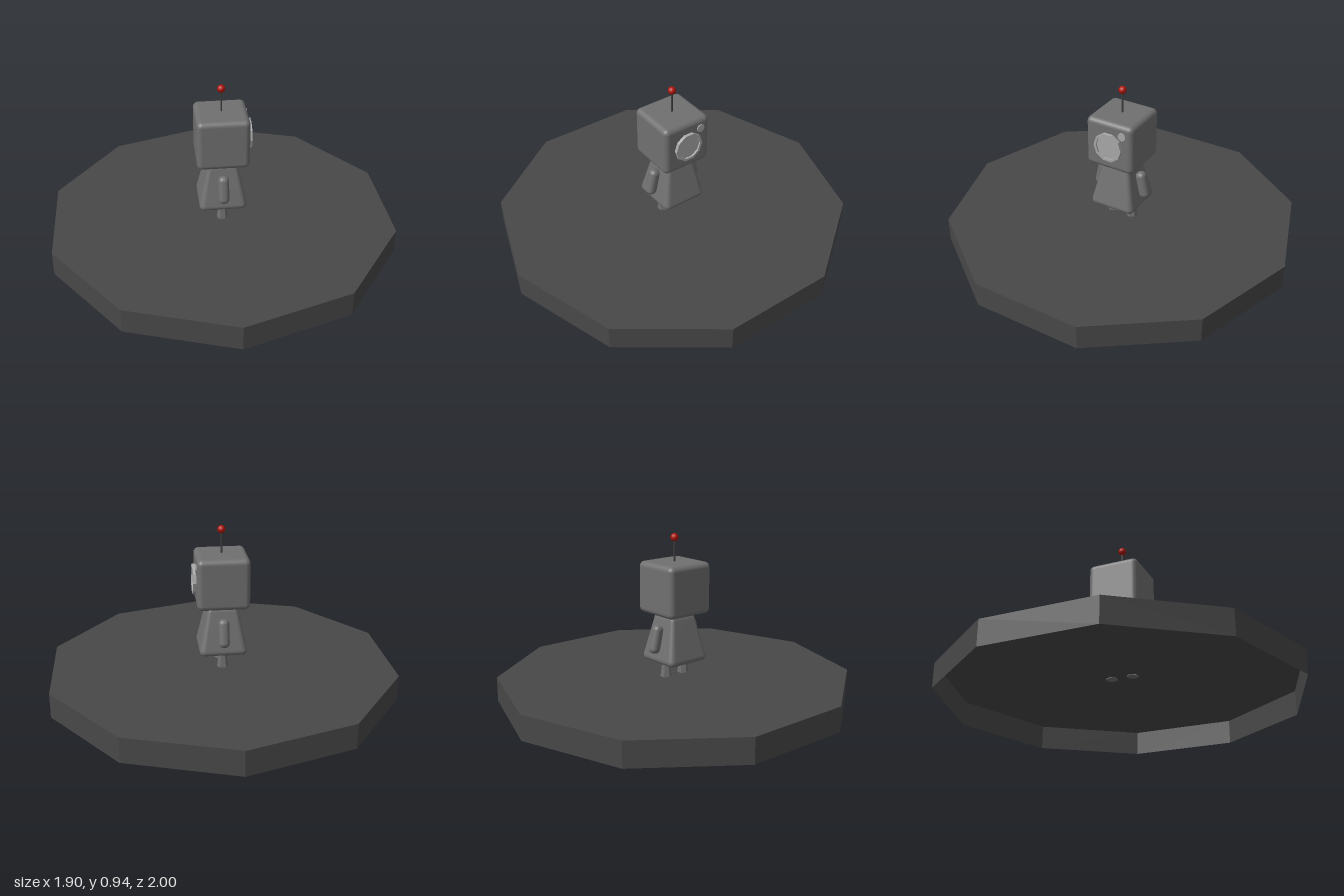
import * as THREE from 'three';
import { RoundedBoxGeometry } from 'three/addons/geometries/RoundedBoxGeometry.js';
import { mergeVertices } from 'three/addons/utils/BufferGeometryUtils.js';

const paint = (color, extra = {}) => new THREE.MeshStandardMaterial({ color, ...extra });

// Rounded box whose cross-section shrinks towards the top
function taperedBox(width, height, radius, topScale) {
  let geo = new RoundedBoxGeometry(width, height, width, 4, radius);
  const p = geo.attributes.position;
  for (let i = 0; i < p.count; i++) {
    const s = THREE.MathUtils.lerp(1, topScale, p.getY(i) / height + 0.5);
    p.setX(i, p.getX(i) * s);
    p.setZ(i, p.getZ(i) * s);
  }
  geo.deleteAttribute('normal');
  geo.deleteAttribute('uv');
  geo = mergeVertices(geo, 1e-5);
  geo.computeVertexNormals();
  return geo;
}

export function createModel() {
  const model = new THREE.Group();
  model.name = 'robotOnBase';

  const baseMat = paint(0x484848, { flatShading: true, side: THREE.DoubleSide });
  const bodyMat = paint(0x707070);
  const legMat = paint(0x707070, { flatShading: true });
  const rodMat = paint(0x404040);
  const lensMat = paint(0xa8a8a8, { flatShading: true });
  const redMat = paint(0xb01408);

  const add = (name, geo, mat, x = 0, y = 0, z = 0) => {
    const mesh = new THREE.Mesh(geo, mat);
    mesh.name = name;
    mesh.position.set(x, y, z);
    model.add(mesh);
    return mesh;
  };

  // Ten-sided base, hollow underneath
  const baseProfile = [[1, 0], [1, 0.14], [0, 0.14]].map(([r, y]) => new THREE.Vector2(r, y));
  add('base', new THREE.LatheGeometry(baseProfile, 10), baseMat);

  // Torso and head
  add('torso', taperedBox(0.28, 0.28, 0.035, 0.56), bodyMat, 0, 0.365, 0);
  add('head', new RoundedBoxGeometry(0.29, 0.29, 0.29, 4, 0.03), bodyMat, 0, 0.645, 0);

  // Legs and arms, mirrored across z
  for (const s of [1, -1]) {
    const side = s > 0 ? 'front' : 'back';
    const leg = add(side + 'Leg', new THREE.CylinderGeometry(0.018, 0.033, 0.11, 6), legMat, 0, 0.19, s * 0.062);
    leg.rotation.y = Math.PI / 6;
    const arm = add(side + 'Arm', new RoundedBoxGeometry(0.06, 0.16, 0.06, 4, 0.027), bodyMat, 0, 0.367, s * 0.133);
    arm.rotation.x = -s * 0.22;
  }

  // Eye: raised rim around a recessed lens, with a small lamp beside it
  const rimProfile = [[0.085, 0], [0.085, 0.02], [0.071, 0.02], [0.071, 0]]
    .map(([r, y]) => new THREE.Vector2(r, y));
  add('eyeRim', new THREE.LatheGeometry(rimProfile, 10), lensMat, 0.143, 0.645, 0).rotation.z = -Math.PI / 2;
  add('eyeLens', new THREE.CylinderGeometry(0.073, 0.073, 0.016, 10), lensMat, 0.145, 0.645, 0).rotation.z = -Math.PI / 2;
  add('lamp', new THREE.CylinderGeometry(0.023, 0.023, 0.016, 16), lensMat, 0.143, 0.73, -0.083).rotation.z = -Math.PI / 2;

  // Antenna
  add('antennaRod', new THREE.CylinderGeometry(0.005, 0.005, 0.15, 8), rodMat, 0, 0.845, 0);
  add('antennaBall', new THREE.SphereGeometry(0.022, 16, 12), redMat, 0, 0.923, 0);

  return model;
}
